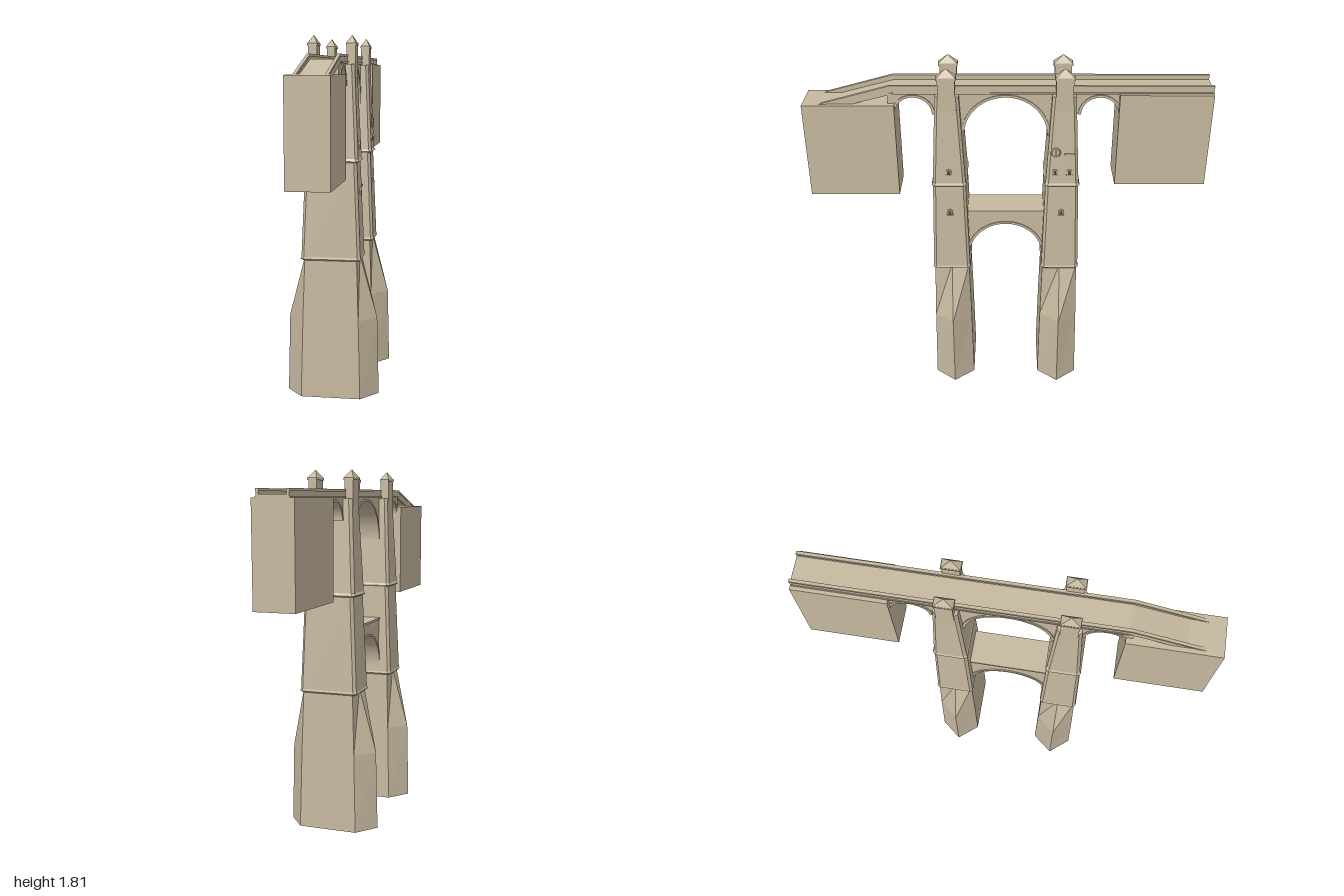
import * as THREE from 'three';

const stone = new THREE.MeshStandardMaterial({ color: 0xc6b89f, flatShading: true, side: THREE.DoubleSide });
const dark = new THREE.MeshStandardMaterial({ color: 0x4a443a });

function add(parent, name, geometry, material = stone) {
  const mesh = new THREE.Mesh(geometry, material);
  mesh.name = name;
  parent.add(mesh);
  return mesh;
}

function box(parent, name, w, h, d, x, y, z, material) {
  const mesh = add(parent, name, new THREE.BoxGeometry(w, h, d), material);
  mesh.position.set(x, y, z);
  return mesh;
}

// Solid through horizontal rings of [x, z] points, each ring at its own height
function loft(rings) {
  const n = rings[0].pts.length, pos = [], idx = [];
  rings.forEach(r => r.pts.forEach(([x, z]) => pos.push(x, r.y, z)));
  for (let k = 0; k < rings.length - 1; k++)
    for (let i = 0; i < n; i++) {
      const a = k * n + i, b = k * n + (i + 1) % n;
      idx.push(a, a + n, b, b, a + n, b + n);
    }
  const last = (rings.length - 1) * n;
  for (let i = 1; i < n - 1; i++) idx.push(0, i, i + 1, last, last + i + 1, last + i);
  const g = new THREE.BufferGeometry();
  g.setAttribute('position', new THREE.Float32BufferAttribute(pos, 3));
  g.setIndex(idx);
  const flat = g.toNonIndexed();
  flat.computeVertexNormals();
  return flat;
}

// Pointed plan for the cutwater, chamfered rectangle for the shafts
const hexRing = (y, x, z, tip) => ({ y, pts: [[tip, 0], [x, z], [-x, z], [-tip, 0], [-x, -z], [x, -z]] });
const octRing = (y, x, z, c = 0.014) => ({
  y, pts: [[x, -z + c], [x, z - c], [x - c, z], [-x + c, z], [-x, z - c], [-x, -z + c], [-x + c, -z], [x - c, -z]],
});

// Extrudes a (z, y) outline across x, centred on x
function across(shape, width, x = 0) {
  const g = new THREE.ExtrudeGeometry(shape, { depth: width, bevelEnabled: false, curveSegments: 28 });
  g.rotateY(-Math.PI / 2);
  g.translate(x + width / 2, 0, 0);
  return g;
}
const outline = pts => new THREE.Shape(pts.map(p => new THREE.Vector2(...p)));

function createPier(z) {
  const pier = new THREE.Group();
  pier.name = 'pier';
  pier.position.z = z;
  add(pier, 'cutwaterBase', loft([
    hexRing(0, 0.15, 0.105, 0.235), hexRing(0.4, 0.14, 0.098, 0.225), hexRing(0.72, 0.13, 0.09, 0.136)]));
  add(pier, 'middleShaft', loft([
    octRing(0.705, 0.145, 0.094), octRing(0.712, 0.152, 0.099), octRing(0.722, 0.148, 0.096),
    octRing(1.2, 0.128, 0.083)]));
  add(pier, 'upperShaft', loft([
    octRing(1.193, 0.132, 0.084), octRing(1.2, 0.141, 0.089), octRing(1.212, 0.134, 0.083),
    octRing(1.67, 0.113, 0.058)]));
  for (const s of [-1, 1]) {
    const turret = new THREE.Group();
    turret.name = 'turret';
    turret.position.x = s * 0.095;
    pier.add(turret);
    box(turret, 'turretShaft', 0.044, 0.16, 0.084, 0, 1.685, 0);
    box(turret, 'turretCornice', 0.05, 0.012, 0.096, 0, 1.765, 0);
    const roof = add(turret, 'turretRoof', new THREE.ConeGeometry(Math.SQRT1_2, 0.042, 4).rotateY(Math.PI / 4));
    roof.scale.set(0.05, 1, 0.096);
    roof.position.y = 1.79;
  }
  return pier;
}

// Spandrel wall above a semi-elliptical opening, with a projecting arch ring
function createArch(name, z, half, spring, rise, top, width, overlap) {
  const arch = new THREE.Group();
  arch.name = name;
  const wall = new THREE.Shape();
  wall.moveTo(z + half + overlap, top);
  wall.lineTo(z - half - overlap, top);
  wall.lineTo(z - half - overlap, spring);
  wall.lineTo(z - half, spring);
  wall.absellipse(z, spring, half, rise, Math.PI, 0, true);
  wall.lineTo(z + half + overlap, spring);
  add(arch, 'spandrel', across(wall, width));
  const ring = new THREE.Shape();
  ring.absellipse(z, spring, half + 0.014, rise + 0.012, 0, Math.PI, false);
  ring.lineTo(z - half, spring);
  ring.absellipse(z, spring, half, rise, Math.PI, 0, true);
  add(arch, 'archRing', across(ring, width + 0.012));
  return arch;
}

function createWindow(x, y, z) {
  const win = new THREE.Group();
  win.name = 'window';
  const arched = (r, h) => {
    const s = new THREE.Shape();
    s.moveTo(-r, 0);
    s.lineTo(r, 0);
    s.lineTo(r, h);
    s.absarc(0, h, r, 0, Math.PI, false);
    return s;
  };
  const frame = arched(0.013, 0.016);
  frame.holes.push(arched(0.008, 0.015));
  add(win, 'windowFrame', across(frame, 0.012));
  add(win, 'windowOpening', across(arched(0.009, 0.015), 0.007), dark);
  box(win, 'windowSill', 0.014, 0.005, 0.032, 0, -0.002, 0);
  win.position.set(x, y, z);
  return win;
}

export function createModel() {
  const model = new THREE.Group();
  model.name = 'archedBridge';
  const frontZ = 0.293, backZ = -0.277;
  model.add(createPier(frontZ), createPier(backZ));

  // Abutments
  box(model, 'frontAbutment', 0.2, 0.49, 0.45, 0, 1.375, 0.775);
  box(model, 'backAbutment', 0.2, 0.485, 0.455, 0, 1.4325, -0.7725);

  // Arches
  model.add(createArch('lowerArch', 0.008, 0.19, 0.76, 0.185, 1.012, 0.164, 0.02));
  box(model, 'lowerArchCoping', 0.176, 0.012, 0.42, 0, 1.016, 0.008);
  model.add(createArch('mainArch', 0.008, 0.207, 1.45, 0.205, 1.68, 0.142, 0.03));
  model.add(createArch('frontSideArch', 0.46, 0.092, 1.565, 0.09, 1.68, 0.142, 0.03));
  model.add(createArch('backSideArch', -0.453, 0.092, 1.565, 0.09, 1.68, 0.142, 0.03));

  // Roadway with its ramp down to the front abutment
  add(model, 'roadway', across(outline([
    [-1, 1.672], [0.55, 1.672], [0.77, 1.615], [0.83, 1.62], [0.56, 1.69], [-1, 1.69]]), 0.145));
  for (const s of [-1, 1]) {
    add(model, 'parapet', across(outline([
      [-1, 1.675], [0.55, 1.675], [0.77, 1.617], [0.92, 1.617], [0.57, 1.71], [-1, 1.71]]), 0.011, s * 0.071));
    add(model, 'parapetCoping', across(outline([
      [-1, 1.703], [0.57, 1.703], [0.89, 1.618], [0.92, 1.62], [0.57, 1.715], [-1, 1.715]]), 0.016, s * 0.071));
    add(model, 'stringCourse', across(outline([
      [-1, 1.672], [0.55, 1.672], [0.57, 1.678], [0.55, 1.682], [-1, 1.682]]), 0.01, s * 0.076));
  }

  // Windows on the left faces
  for (const [x, y, z] of [
    [0.131, 1.262, frontZ], [0.136, 1.032, frontZ],
    [0.131, 1.262, backZ + 0.037], [0.131, 1.262, backZ - 0.035], [0.136, 1.032, backZ]]) {
    model.add(createWindow(x, y, z));
  }

  // Plain relief ornaments above the back pier's windows
  const wreath = add(model, 'wreathRelief', new THREE.TorusGeometry(0.023, 0.004, 6, 20).rotateY(Math.PI / 2));
  wreath.position.set(0.128, 1.382, -0.24);
  box(model, 'wreathStem', 0.01, 0.075, 0.006, 0.128, 1.37, -0.24);
  add(model, 'shieldRelief', across(outline([
    [-0.335, 1.378], [-0.335, 1.35], [-0.31, 1.325], [-0.285, 1.35], [-0.285, 1.378]]), 0.018, 0.124));
  return model;
}
